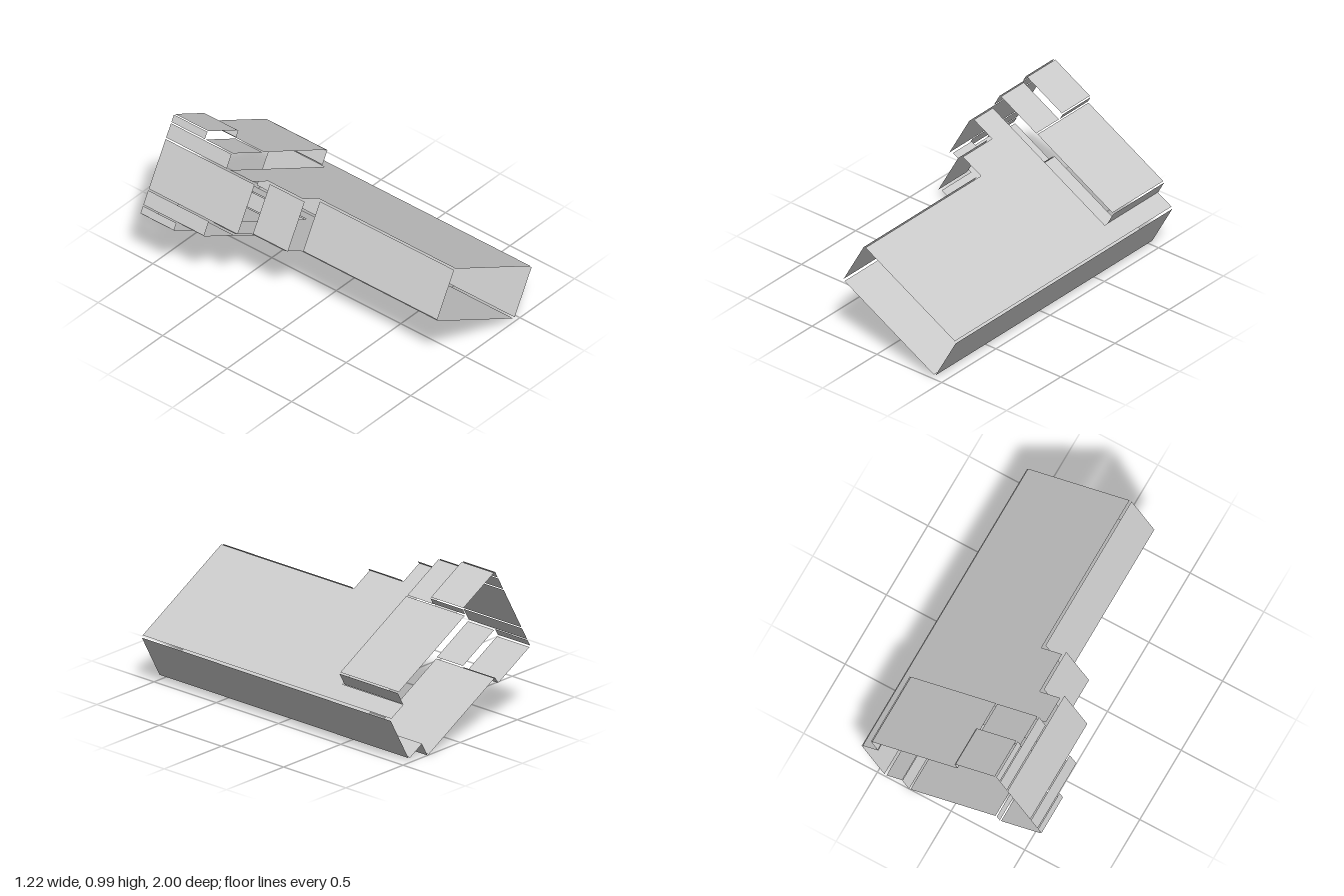
import * as THREE from 'three';

const material = new THREE.MeshStandardMaterial({ color: 0xcccccc, side: THREE.DoubleSide, flatShading: true });

function add(group, name, geometry) {
  const mesh = new THREE.Mesh(geometry, material);
  mesh.name = name;
  group.add(mesh);
}

// flat sheet parallel to the roof, outlined by [u, z] corners at height v
function sheet(group, name, v, corners) {
  const shape = new THREE.Shape(corners.map(([u, z]) => new THREE.Vector2(u, z)));
  add(group, name, new THREE.ShapeGeometry(shape).rotateX(Math.PI / 2).translate(0, v, 0));
}

// wall at a fixed u, spanning v0..v1 and z0..z1
function wall(group, name, u, v0, v1, z0, z1) {
  const geometry = new THREE.PlaneGeometry(z1 - z0, v1 - v0).rotateY(Math.PI / 2);
  add(group, name, geometry.translate(u, (v0 + v1) / 2, (z0 + z1) / 2));
}

const rect = (u0, u1, z0, z1) => [[u0, z0], [u1, z0], [u1, z1], [u0, z1]];

export function createModel() {
  const model = new THREE.Group();

  // the whole open-ended shell leans about the long axis
  const shell = new THREE.Group();
  shell.name = 'shell';
  shell.position.set(0.175, 0.3725, 0);
  shell.rotation.z = -0.504;
  model.add(shell);

  // side walls of the main body, stepping outwards towards the back
  wall(shell, 'rightWall', 0.405, -0.16, 0.16, -1, 1);
  wall(shell, 'leftWallFront', -0.405, -0.16, 0.16, -0.04, 1);
  wall(shell, 'leftWallMiddle', -0.565, -0.16, 0.16, -0.31, -0.04);
  wall(shell, 'leftWallBack', -0.725, -0.16, 0.16, -1, -0.31);

  // stepped main sheet with a notch under the raised back section
  const bodyOutline = [
    [-0.393, 1], [0.393, 1], [0.393, -1], [0.272, -1], [0.272, -0.51], [-0.713, -0.51],
    [-0.713, -0.335], [-0.553, -0.335], [-0.553, -0.065], [-0.393, -0.065],
  ];

  // upper and lower halves mirror each other
  for (const [side, s] of [['upper', 1], ['lower', -1]]) {
    const band = (name, u, a, b, z0, z1) =>
      wall(shell, side + name, u, Math.min(s * a, s * b), Math.max(s * a, s * b), z0, z1);

    sheet(shell, side + 'BodySheet', s * 0.168, bodyOutline);

    // raised back section
    sheet(shell, side + 'RaisedSheet', s * 0.27, rect(-0.395, 0.264, -1, -0.53));
    band('RaisedRightWall', 0.274, 0.174, 0.268, -1, -0.53);

    // stepped corner blocks on the left
    sheet(shell, side + 'CornerSheet', s * 0.267, rect(-0.715, -0.405, -0.74, -0.53));
    band('CornerLeftWall', -0.725, 0.17, 0.262, -1, -0.53);
    sheet(shell, side + 'EndSheet', s * 0.321, rect(-0.715, -0.41, -1, -0.74));
    band('EndLeftWall', -0.725, 0.27, 0.317, -1, -0.74);
    band('EndRightWall', -0.402, 0.275, 0.317, -1, -0.74);
  }
  return model;
}
